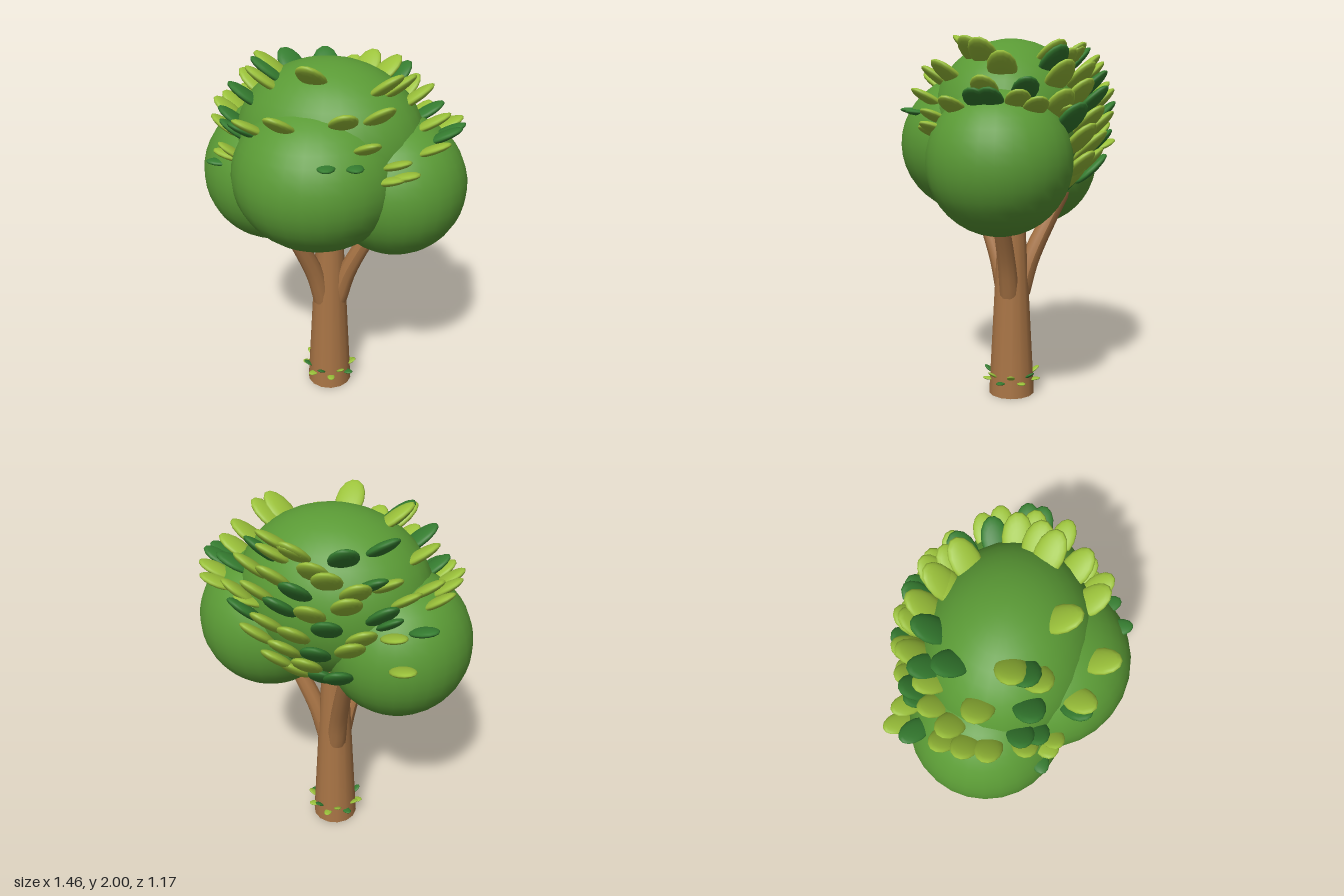
import * as THREE from 'three';

const mat = (color) => new THREE.MeshStandardMaterial({ color, roughness: 0.8 });
const bark = mat(0xa87445);
const foliage = mat(0x5a9a35);
const lightLeaf = mat(0x9bc23a);
const darkLeaf = mat(0x357d30);

// Canopy ellipsoids: name, centre, radii
const LOBES = [
  ['mainCrown', [0, 1.535, -0.01], [0.51, 0.435, 0.42]],
  ['frontCrown', [0, 1.41, 0.16], [0.445, 0.393, 0.44]],
  ['leftCrown', [0.355, 1.335, -0.04], [0.375, 0.375, 0.37]],
  ['rightCrown', [-0.35, 1.31, -0.04], [0.383, 0.39, 0.383]],
];

// Outermost canopy coordinate along one axis through point p, or null outside it
function reach(p, axis, sign) {
  let best = null;
  for (const [, c, r] of LOBES) {
    let k = 1;
    for (let a = 0; a < 3; a++) if (a !== axis) k -= ((p[a] - c[a]) / r[a]) ** 2;
    if (k < 0) continue;
    const v = c[axis] + sign * r[axis] * Math.sqrt(k);
    if (best === null || v * sign > best * sign) best = v;
  }
  return best;
}

// A flattened oval leaf pointing outwards from the trunk and tilted up
const leafGeo = new THREE.SphereGeometry(1, 14, 10);
leafGeo.scale(0.075, 0.027, 0.12);
function addLeaf(group, [x, y, z], pitch, size, material, name = 'leaf') {
  const m = new THREE.Mesh(leafGeo, material);
  m.name = name;
  m.position.set(x, y, z);
  m.rotation.set(-pitch, Math.atan2(x, z), 0, 'YXZ');
  m.scale.setScalar(size);
  group.add(m);
}

// Leaves on the upper canopy, as [x, z]
const TOP_LIGHT = [
  [-0.46, -0.27], [-0.37, -0.3], [-0.54, -0.16], [-0.6, -0.18], [-0.47, -0.04], [-0.61, -0.07],
  [-0.6, 0.04], [-0.31, 0.08], [-0.3, 0.2], [-0.53, 0.2], [-0.44, 0.32], [-0.28, 0.41],
  [-0.08, 0.47], [0, 0.26], [0.22, 0.36], [0.35, 0.37], [0.37, 0.25], [0.48, 0.28],
  [0.36, 0.11], [0.4, 0.04], [0.46, -0.08], [0.57, -0.02], [0.56, -0.28], [0.6, -0.2],
  [0.62, 0.13], [0.09, -0.36], [0.21, -0.34], [0.23, -0.29], [0.34, -0.37],
];
const TOP_DARK = [
  [-0.31, -0.34], [-0.41, -0.37], [-0.32, -0.21], [-0.3, 0.14], [-0.5, 0.17], [-0.46, 0.24],
  [-0.41, 0.19], [-0.31, 0.4], [0.49, -0.21], [0.64, 0], [0.64, -0.07],
];
// Rows of leaves down the back: height, then x positions
const BACK_ROWS = [
  [1.83, [-0.15, -0.03, 0.08, 0.26]],
  [1.74, [-0.23, -0.1, 0.04, 0.16, 0.3]],
  [1.64, [-0.35, -0.2, -0.04, 0.11, 0.24, 0.37]],
  [1.53, [-0.54, -0.42, -0.27, -0.12, 0.04, 0.18, 0.32]],
  [1.42, [-0.48, -0.22, -0.06, 0.1, 0.25]],
  [1.3, [-0.16, 0, 0.16]],
  [1.2, [-0.03, 0.1]],
];
// Small leaves low on the front: x, y, dark
const FRONT = [[-0.43, 1.49, 0], [-0.51, 1.44, 1], [0.18, 1.59, 1], [0.29, 1.58, 1], [0.48, 1.5, 0], [0.42, 1.48, 0]];

function buildLeaves() {
  const g = new THREE.Group();
  g.name = 'leaves';
  const onTop = (material) => ([x, z]) => {
    const r = Math.hypot(x, z), k = (r - 0.035) / r;
    const p = [x * k, 0, z * k];
    p[1] = reach(p, 1, 1) + 0.03;
    const high = THREE.MathUtils.clamp((p[1] - 1.5) / 0.3, 0, 1);
    // Steeper on the right-hand side and near the crown's top
    const pitch = x < -0.4 ? 0.65 : 0.35 + 0.3 * high;
    addLeaf(g, p, pitch, 0.72 + 0.28 * high, material);
  };
  TOP_LIGHT.forEach(onTop(lightLeaf));
  TOP_DARK.forEach(onTop(darkLeaf));
  let n = 0;
  for (const [y, xs] of BACK_ROWS) for (const x of xs) {
    n++;
    const p = [x, y + 0.03 * Math.sin(n * 2.4), 0];
    p[2] = reach(p, 2, -1) - 0.05;
    const side = x < -0.4;
    addLeaf(g, p, side ? 0.35 : 0.75, side ? 0.75 : 1, n % 3 === 1 ? darkLeaf : lightLeaf);
  }
  for (const [x, y, dark] of FRONT) {
    const z = reach([x, y, 0], 2, 1) - 0.02;
    addLeaf(g, [x, y, z], dark ? 0.1 : 0.35, dark ? 0.6 : 0.85, dark ? darkLeaf : lightLeaf);
  }
  return g;
}

// A branch tube, narrowed towards its tip, with a flat end
function branchGeometry() {
  const curve = new THREE.CatmullRomCurve3([
    [0.05, 0.58], [0.105, 0.76], [0.21, 0.98], [0.335, 1.21],
  ].map(([x, y]) => new THREE.Vector3(x, y, 0)));
  const rings = 12, sides = 10;
  const geo = new THREE.TubeGeometry(curve, rings, 0.056, sides);
  const pos = geo.attributes.position, v = new THREE.Vector3();
  for (let i = 0; i < pos.count; i++) {
    const t = Math.floor(i / (sides + 1)) / rings;
    v.fromBufferAttribute(pos, i).lerp(curve.getPointAt(t), 0.3 * t);
    pos.setXYZ(i, v.x, v.y, v.z);
  }
  geo.computeVertexNormals();
  const tip = new THREE.CircleGeometry(0.039, sides);
  tip.rotateX(-Math.PI / 2).rotateZ(-0.5).translate(0.335, 1.21, 0);
  return [geo, tip];
}

export function createModel() {
  const tree = new THREE.Group();
  tree.name = 'tree';

  const trunk = new THREE.Mesh(new THREE.CylinderGeometry(0.076, 0.13, 0.99, 14), bark);
  trunk.name = 'trunk';
  trunk.position.set(0, 0.495, -0.01);
  tree.add(trunk);

  // Three branches spread evenly around the trunk
  const parts = branchGeometry();
  for (let i = 0; i < 3; i++) {
    const branch = new THREE.Group();
    branch.name = 'branch';
    parts.forEach((geo) => branch.add(new THREE.Mesh(geo, bark)));
    branch.position.z = -0.01;
    branch.rotation.y = (i * Math.PI * 2) / 3;
    tree.add(branch);
  }

  for (const [name, c, r] of LOBES) {
    const lobe = new THREE.Mesh(new THREE.SphereGeometry(1, 28, 20), foliage);
    lobe.name = name;
    lobe.position.set(...c);
    lobe.scale.set(...r);
    tree.add(lobe);
  }

  tree.add(buildLeaves());

  // Small sprouts around the foot of the trunk
  const sprouts = new THREE.Group();
  sprouts.name = 'sprouts';
  sprouts.position.z = -0.01;
  for (let i = 0; i < 14; i++) {
    const a = (i / 14) * Math.PI * 2;
    const y = i % 2 ? 0.085 : 0.12;
    addLeaf(sprouts, [Math.sin(a) * 0.13, y, Math.cos(a) * 0.13], i % 2 ? 0.15 : 0.6, 0.3,
      i % 3 ? lightLeaf : darkLeaf, 'sprout');
  }
  tree.add(sprouts);
  return tree;
}
